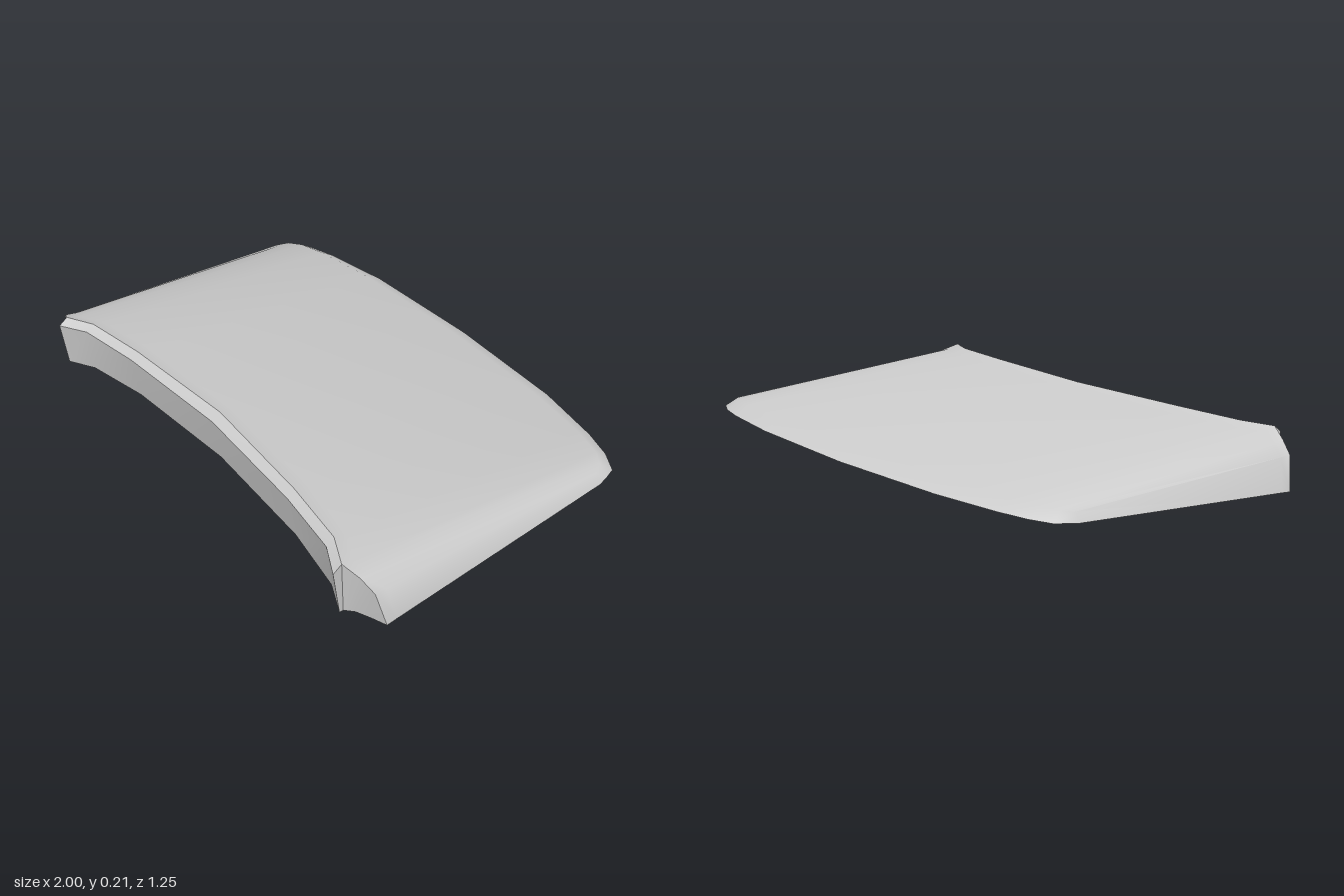
import * as THREE from 'three';
import { toCreasedNormals } from 'three/addons/utils/BufferGeometryUtils.js';

const flip = (cols) => cols.map((col) => col.map(([x, y, z]) => [-x, y, z])).reverse();
const bothSides = (cols) => [...flip(cols.filter((c) => c[0][0] > 0)), ...cols];

// Skin a list of columns of points; column direction x row direction faces outward
function skin(cols) {
  const pos = [];
  for (let i = 0; i < cols.length - 1; i++) {
    for (let j = 0; j < cols[i].length - 1; j++) {
      const a = cols[i][j], b = cols[i + 1][j], c = cols[i + 1][j + 1], d = cols[i][j + 1];
      pos.push(...a, ...b, ...c, ...a, ...c, ...d);
    }
  }
  const g = new THREE.BufferGeometry();
  g.setAttribute('position', new THREE.Float32BufferAttribute(pos, 3));
  return toCreasedNormals(g, 0.78);
}

export function createModel() {
  const group = new THREE.Group();
  const grey = new THREE.MeshStandardMaterial({ color: 0xcccccc });
  grey.name = 'panelGrey';
  const add = (name, cols) => {
    const mesh = new THREE.Mesh(skin(cols), grey);
    mesh.name = name;
    group.add(mesh);
  };

  // Middle sections: x, then [y, z] of front bottom, lip front, lip peak, dip, rear top, rear edge
  const middle = [
    [0, [0.022, 0.475], [0.19, 0.505], [0.215, 0.47], [0.2, 0.42], [0.148, -0.56], [0.11, -0.63]],
    [0.49, [0.02, 0.505], [0.188, 0.535], [0.212, 0.505], [0.197, 0.45], [0.145, -0.545], [0.11, -0.61]],
    [0.75, [0.013, 0.55], [0.183, 0.57], [0.207, 0.54], [0.192, 0.49], [0.14, -0.515], [0.107, -0.57]],
    [0.86, [0.003, 0.6], [0.175, 0.625], [0.2, 0.592], [0.185, 0.545], [0.135, -0.49], [0.104, -0.54]],
  ].map(([x, ...pts]) => pts.map(([y, z]) => [x, y, z]));

  // Rounded shoulder sections: front edge, dip, rear top, rear edge
  const shoulder = [
    [[0.92, 0.17, 0.565], [0.918, 0.163, 0.52], [0.91, 0.13, -0.46], [0.935, 0.1, -0.5]],
    [[0.97, 0.13, 0.545], [0.968, 0.128, 0.5], [0.935, 0.122, -0.42], [0.95, 0.098, -0.46]],
    [[1, 0.01, 0.52], [0.998, 0.014, 0.48], [0.96, 0.092, -0.42], [0.96, 0.092, -0.42]],
  ];
  const cornerBottom = [[0.86, 0.004, 0.585], [0.89, 0.006, 0.56], [0.94, 0.008, 0.54], [1, 0.01, 0.52]];
  const end = middle[3];

  // Upper skin with rounded sides and rear edge
  add('topPanel', bothSides([...middle.map((c) => c.slice(2)), ...shoulder]));

  // Front wall with its bevelled lip
  add('frontLip', bothSides(middle.map((c) => c.slice(0, 3))));

  // Set-back corners and the small steps beside the lip
  const cornerTop = [end[2], ...shoulder.map((s) => s[0])];
  const corner = cornerBottom.map((p, i) => [p, cornerTop[i]]);
  const step = [[end[0], end[1]], [cornerBottom[0], end[2]]];
  add('leftCorner', corner);
  add('rightCorner', flip(corner));
  add('leftLipEnd', step);
  add('rightLipEnd', flip(step));

  // Flat underside
  add('underside', bothSides([
    ...middle.map((c) => [c[5], c[0]]),
    [end[5], cornerBottom[0]],
    ...shoulder.map((s, i) => [s[3], cornerBottom[i + 1]]),
  ]));
  return group;
}
